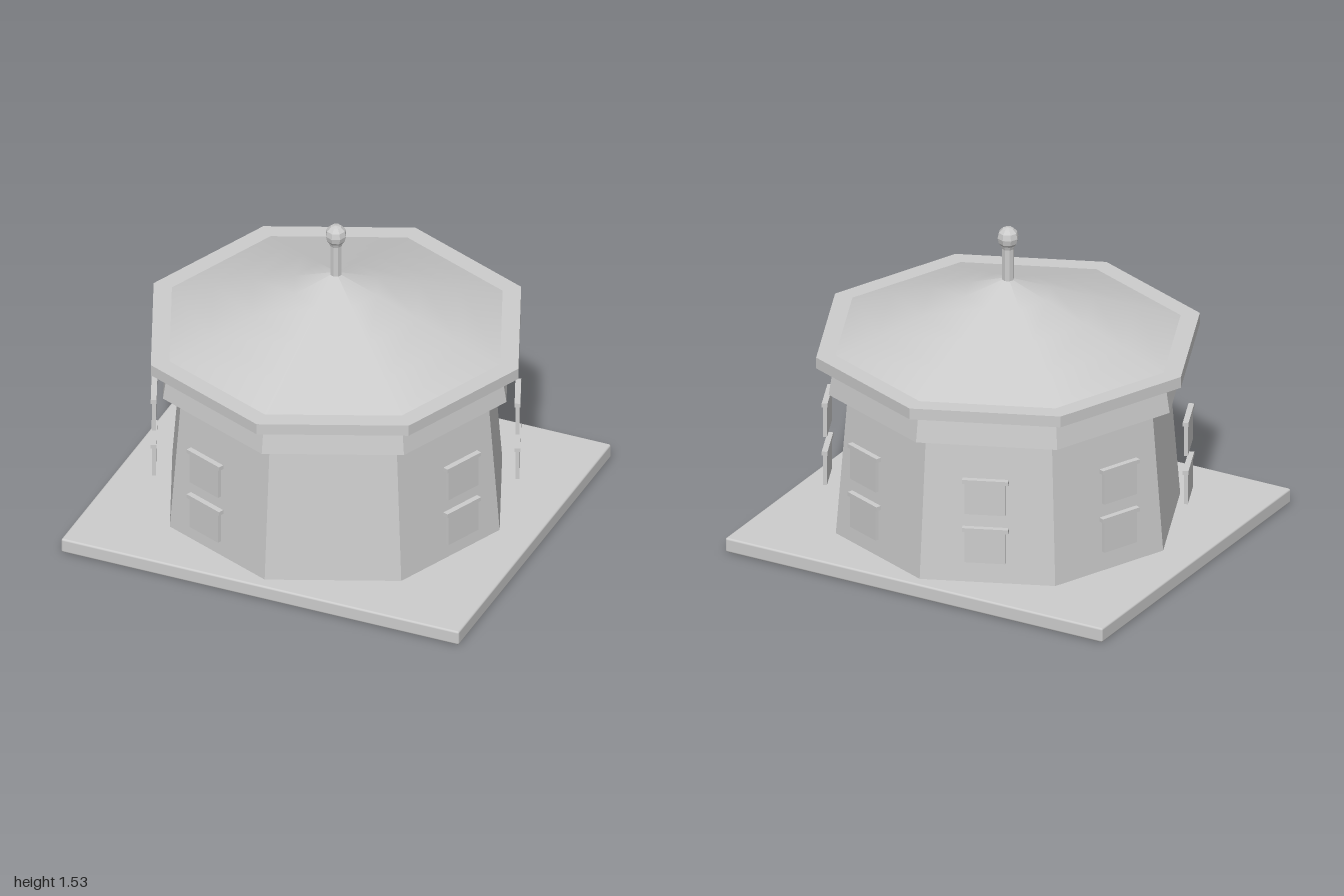
import * as THREE from 'three';
import { RoundedBoxGeometry } from 'three/addons/geometries/RoundedBoxGeometry.js';

const stone = new THREE.MeshStandardMaterial({ color: 0xcccccc });
stone.name = 'paleGrey';

// One normal per face for crisp facets
function faceted(geometry) {
  const g = geometry.index ? geometry.toNonIndexed() : geometry;
  g.computeVertexNormals();
  return g;
}

function add(parent, name, geometry) {
  const mesh = new THREE.Mesh(geometry, stone);
  mesh.name = name;
  parent.add(mesh);
  return mesh;
}

// Eight-sided tier between two heights, corners on the axes
function tier(parent, name, rBottom, rTop, y0, y1) {
  const g = faceted(new THREE.CylinderGeometry(rTop, rBottom, y1 - y0, 8));
  add(parent, name, g).position.y = (y0 + y1) / 2;
}

// Shutter panel with a slightly wider ledge along its top
function createWindow(y) {
  const w = new THREE.Group();
  w.name = 'window';
  add(w, 'windowPanel', new THREE.BoxGeometry(0.19, 0.155, 0.018)).position.set(0, y + 0.0775, 0.838);
  add(w, 'windowLedge', new THREE.BoxGeometry(0.215, 0.02, 0.027)).position.set(0, y + 0.165, 0.8385);
  return w;
}

export function createModel() {
  const model = new THREE.Group();
  model.name = 'octagonalPavilion';

  // Ground slab with softened edges
  add(model, 'base', new RoundedBoxGeometry(2, 0.072, 1.76, 2, 0.01)).position.y = 0.036;

  // Tapered walls, cornice and eaves
  tier(model, 'walls', 0.823, 0.765, 0.07, 0.78);
  tier(model, 'cornice', 0.857, 0.835, 0.78, 0.922);
  tier(model, 'eaves', 0.917, 0.917, 0.922, 0.977);

  // Roof, smooth across its ridges
  const roof = new THREE.CylinderGeometry(0.001, 0.825, 0.296, 8, 4, true);
  add(model, 'roof', roof).position.y = 0.977 + 0.148;

  // Pole, collar and ball on top
  const profile = [
    [0.028, 1.25], [0.028, 1.42], [0.034, 1.437], [0.044, 1.45],
    [0.05, 1.476], [0.044, 1.503], [0.026, 1.521], [0, 1.527],
  ].map(([x, y]) => new THREE.Vector2(x, y));
  add(model, 'finial', faceted(new THREE.LatheGeometry(profile, 8)));

  // Two windows on every wall except the front-left one
  for (let i = 1; i < 8; i++) {
    const side = new THREE.Group();
    side.name = 'wallWindows';
    side.add(createWindow(0.21), createWindow(0.455));
    side.rotation.y = Math.PI / 8 + (i * Math.PI) / 4;
    model.add(side);
  }
  return model;
}
